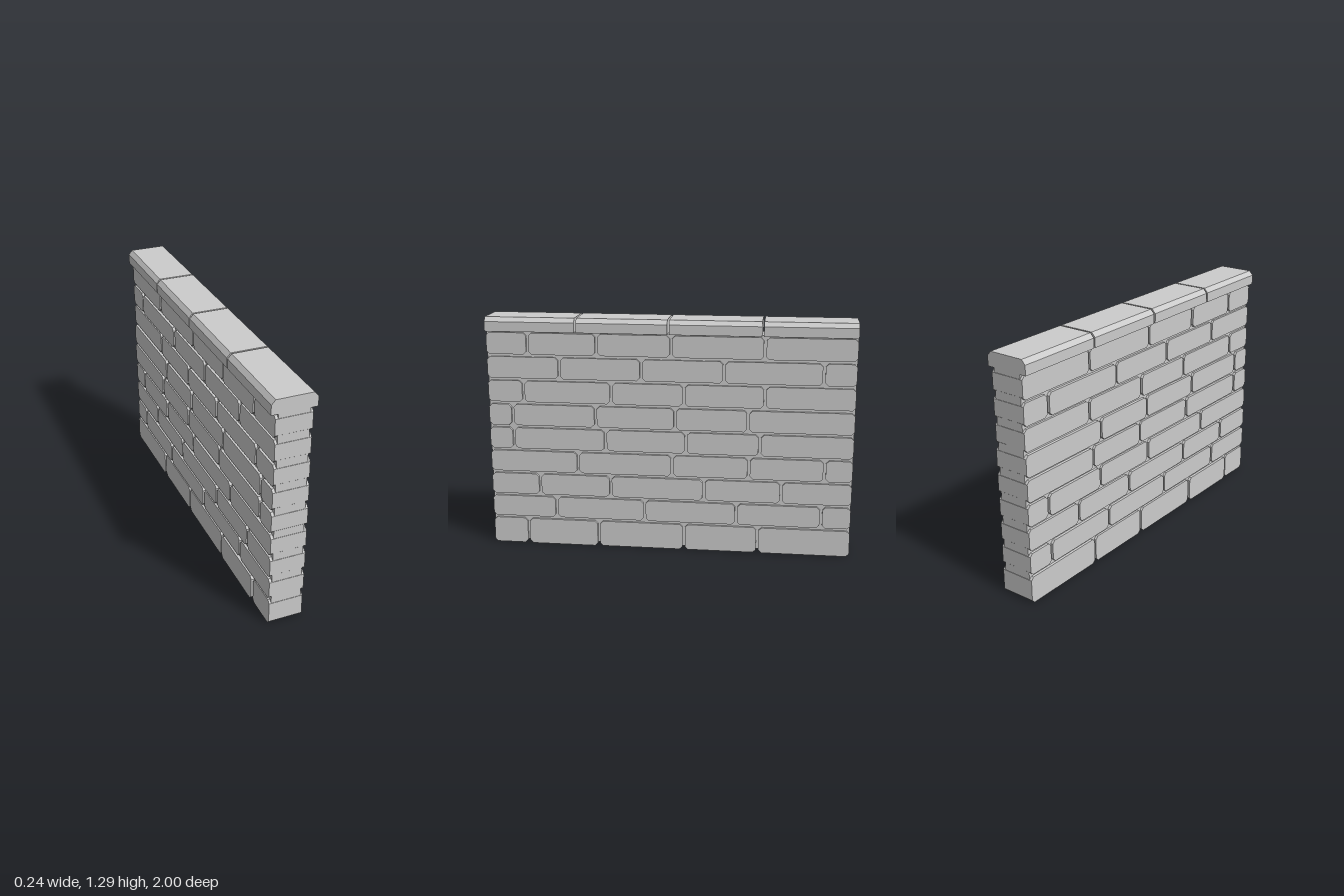
import * as THREE from 'three';

const material = new THREE.MeshStandardMaterial({ color: 0xcccccc, flatShading: true });

// Extrudes a profile along z, centred on z = 0
function extrude(points, depth) {
  const shape = new THREE.Shape(points.map(([x, y]) => new THREE.Vector2(x, y)));
  const geometry = new THREE.ExtrudeGeometry(shape, { depth, bevelEnabled: false });
  return geometry.translate(0, 0, -depth / 2);
}

// Brick running through the wall along x, with its four long edges chamfered
function brickGeometry(length, height, thickness) {
  const c = 0.016, a = length / 2, b = height / 2;
  return extrude([
    [-a + c, -b], [a - c, -b], [a, -b + c], [a, b - c],
    [a - c, b], [-a + c, b], [-a, b - c], [-a, -b + c],
  ], thickness).rotateY(Math.PI / 2);
}

export function createModel() {
  const wall = new THREE.Group();
  wall.name = 'brickWall';

  const add = (name, geometry, x, y, z, parent = wall) => {
    const mesh = new THREE.Mesh(geometry, material);
    mesh.name = name;
    mesh.position.set(x, y, z);
    parent.add(mesh);
  };

  // Mortar core, set back from the brick faces
  const coreBottom = 0.018, coreTop = 1.217;
  add('mortarCore', new THREE.BoxGeometry(0.162, coreTop - coreBottom, 1.998),
    0, (coreBottom + coreTop) / 2, 0);

  // Joint positions along z for each course, bottom to top
  const courses = [
    [0.8, 0.395, -0.085, -0.495],
    [0.635, 0.135, -0.375, -0.84],
    [0.725, 0.325, -0.195, -0.62],
    [0.505, -0.02, -0.44, -0.85],
    [0.865, 0.35, -0.095, -0.497],
    [0.868, 0.403, -0.035, -0.433],
    [0.803, 0.315, -0.083, -0.52],
    [0.6, 0.15, -0.3, -0.828],
    [0.772, 0.393, -0.013, -0.515],
  ];
  const joint = 0.014, pitch = 0.1328;
  let seed = 7;
  const random = () => (seed = (seed * 16807) % 2147483647) / 2147483647;

  // Bricks, each slightly different in thickness
  courses.forEach((joints, row) => {
    const course = new THREE.Group();
    course.name = `course${row + 1}`;
    wall.add(course);
    const bottom = row === 0 ? 0 : 0.0275 + row * pitch;
    const top = 0.146 + row * pitch;
    const ends = [1 + joint / 2, ...joints, -1 - joint / 2];
    for (let i = 0; i < ends.length - 1; i++) {
      const length = ends[i] - ends[i + 1] - joint;
      const thickness = 0.184 + 0.01 * random();
      add('brick', brickGeometry(length, top - bottom, thickness),
        0, (top + bottom) / 2, (ends[i] + ends[i + 1]) / 2, course);
    }
  });

  // Coping stones with chamfered upper edges
  const coping = [
    [-0.118, 1.217], [0.118, 1.217], [0.118, 1.27],
    [0.097, 1.294], [-0.097, 1.294], [-0.118, 1.27],
  ];
  const gap = 0.01, length = (2 - 3 * gap) / 4;
  for (let i = 0; i < 4; i++) {
    add('copingStone', extrude(coping, length), 0, 0, -1 + length / 2 + i * (length + gap));
  }
  return wall;
}
